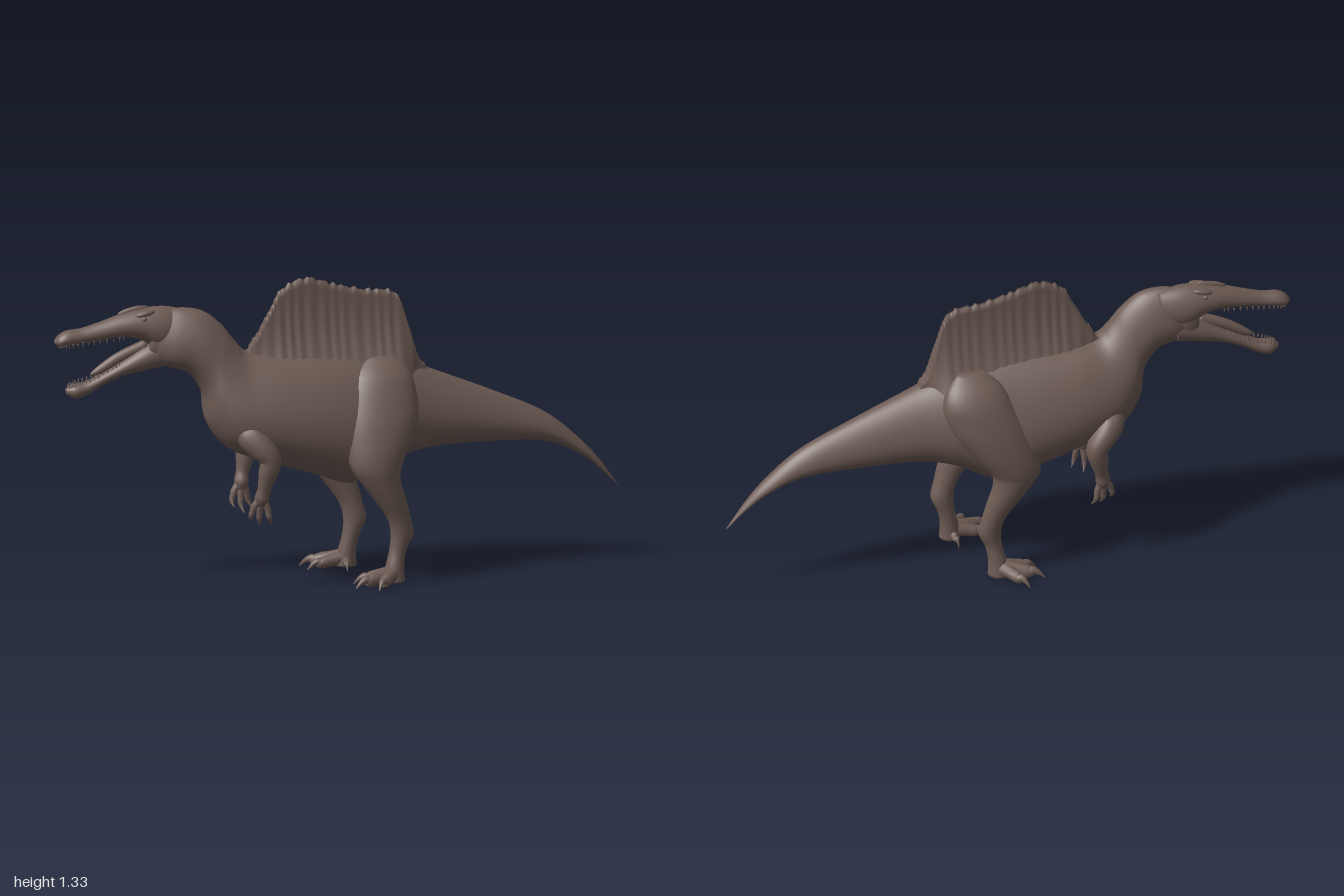
import * as THREE from 'three';

const skin = new THREE.MeshStandardMaterial({ color: 0x6d5b54 });
skin.name = 'brown skin';
const V = (x, y, z) => new THREE.Vector3(x, y, z);

// Catmull-Rom through rows of numbers
function smoothRows(rows, steps) {
  const out = [], last = rows.length - 1;
  for (let i = 0; i <= last * steps; i++) {
    const k = Math.min(Math.floor(i / steps), last - 1), t = i / steps - k;
    const p = [k - 1, k, k + 1, k + 2].map(j => rows[Math.max(0, Math.min(last, j))]);
    out.push(p[1].map((b, c) => {
      const a = p[0][c], d = p[2][c], e = p[3][c];
      return b + 0.5 * t * (d - a + t * (2 * a - 5 * b + 4 * d - e + t * (3 * (b - d) + e - a)));
    }));
  }
  return out;
}

// Closed skin over rings of equal point count, always facing outward
function skinRings(rings, name) {
  const n = rings[0].length, pts = rings.flat(), idx = [];
  for (let i = 0; i < rings.length - 1; i++) for (let j = 0; j < n; j++) {
    const a = i * n + j, b = i * n + (j + 1) % n;
    idx.push(a, b, a + n, b, b + n, a + n);
  }
  [0, rings.length - 1].forEach((r, end) => {
    const mid = rings[r].reduce((s, p) => s.add(p), V(0, 0, 0)).divideScalar(n);
    const c = pts.push(mid) - 1;
    for (let j = 0; j < n; j++) {
      const a = r * n + j, b = r * n + (j + 1) % n;
      end ? idx.push(a, b, c) : idx.push(b, a, c);
    }
  });
  let volume = 0;
  for (let i = 0; i < idx.length; i += 3)
    volume += pts[idx[i]].dot(pts[idx[i + 1]].clone().cross(pts[idx[i + 2]]));
  if (volume < 0) idx.reverse();
  const g = new THREE.BufferGeometry().setFromPoints(pts);
  g.setIndex(idx);
  g.computeVertexNormals();
  const mesh = new THREE.Mesh(g, skin);
  mesh.name = name;
  return mesh;
}

// Loft along the spine; rows: top z, top y, bottom z, bottom y, half width, sideways shift
function spineLoft(rows, name, taper = 0, n = 32) {
  return skinRings(smoothRows(rows, 6).map(([tz, ty, bz, by, w, x = 0]) =>
    Array.from({ length: n }, (_, j) => {
      const a = j / n * Math.PI * 2, s = Math.sin(a), c = Math.cos(a);
      return V(x + w * c * (1 - taper * s), (ty + by) / 2 + s * (ty - by) / 2, (tz + bz) / 2 + s * (tz - bz) / 2);
    })), name);
}

// Round limb; rows: x, y, z, radius
function limb(rows, name, n = 14) {
  const r = smoothRows(rows, 5);
  return skinRings(r.map((p, i) => {
    const q = r[Math.max(0, i - 1)], s = r[Math.min(r.length - 1, i + 1)];
    const t = V(s[0] - q[0], s[1] - q[1], s[2] - q[2]).normalize();
    const A = V(1, 0.1, 0.2).cross(t).normalize(), B = t.clone().cross(A);
    return Array.from({ length: n }, (_, j) => {
      const a = j / n * Math.PI * 2;
      return V(p[0], p[1], p[2]).addScaledVector(A, Math.cos(a) * p[3]).addScaledVector(B, Math.sin(a) * p[3]);
    });
  }), name);
}

function blob(name, x, y, z, sx, sy, sz, tilt = 0) {
  const m = new THREE.Mesh(new THREE.SphereGeometry(1, 20, 14), skin);
  m.name = name;
  m.position.set(x, y, z);
  m.scale.set(sx, sy, sz);
  m.rotation.x = tilt;
  return m;
}

// Thin ribbed sail with a ragged crest, flaring into the back
function sail() {
  const outline = [[0.45, 0.97], [0.385, 1.045], [0.315, 1.16], [0.25, 1.28], [0.14, 1.33], [0.015, 1.298], [-0.12, 1.266],
    [-0.245, 1.252], [-0.29, 1.2], [-0.325, 1.09], [-0.36, 0.97], [-0.43, 0.87]];
  const rows = smoothRows(outline, 14), m = 16;
  return skinRings(rows.map(([z, y], i) => {
    const rib = Math.sin(z * 125 + Math.sin(z * 31)), top = y + 0.005 * rib + 0.004 * Math.sin(i * 1.9);
    const base = 0.82, end = Math.sin(Math.PI / 2 * Math.min(1, i / 50, (rows.length - 1 - i) / 60));
    const side = s => Array.from({ length: m }, (_, j) => {
      const v = j / (m - 1), py = base + (top - base) * v, h = Math.max(0, Math.min(1, (py - 0.86) / 0.46));
      const th = 0.125 * Math.pow(1 - h, 2.5) * end + 0.009 + 0.0035 * rib * h * (1 - v * v) * 2;
      return V(0.03 + 0.03 * z + s * th, py, z);
    });
    return [...side(1), ...side(-1).reverse()];
  }), 'sail');
}

// Hind leg with splayed toes; the right one steps forward
function hindLeg(side) {
  const g = new THREE.Group(), n = 28;
  g.name = side > 0 ? 'leftHindLeg' : 'rightHindLeg';
  const shift = y => side > 0 ? 0 : Math.max(0, Math.min(1, (0.85 - y) / 0.35));
  const place = (x, y, z) => [side * x + 0.085 * shift(y) + (side < 0 ? 0.02 * (1 - shift(y)) : 0), y, z + 0.12 * shift(y)];
  // y, z, x, depth radius, width radius
  const rows = [[0.98, -0.19, 0.08, 0.06, 0.02], [0.9, -0.18, 0.115, 0.135, 0.068], [0.75, -0.165, 0.158, 0.17, 0.095],
    [0.63, -0.145, 0.197, 0.15, 0.092], [0.53, -0.128, 0.228, 0.115, 0.077], [0.46, -0.145, 0.236, 0.09, 0.064],
    [0.37, -0.192, 0.232, 0.069, 0.053], [0.29, -0.23, 0.224, 0.052, 0.044], [0.22, -0.246, 0.217, 0.05, 0.042],
    [0.15, -0.228, 0.216, 0.038, 0.037], [0.08, -0.213, 0.222, 0.04, 0.041], [0.012, -0.208, 0.226, 0.048, 0.047]];
  g.add(skinRings(smoothRows(rows, 5).map(([y, z, x, rz, rx]) => Array.from({ length: n }, (_, j) => {
    const a = j / n * Math.PI * 2, c = place(x, y, z);
    return V(c[0] + Math.cos(a) * rx, y, c[2] + Math.sin(a) * rz);
  })), 'leg'));
  for (const [angle, len, r] of [[-0.12, 0.165, 0.027], [0.38, 0.19, 0.03], [0.95, 0.165, 0.027], [-1.4, 0.09, 0.017]]) {
    const along = (d, y, rad) => [...place(0.226 + Math.sin(angle) * d, 0, -0.208 + Math.cos(angle) * d).map((v, i) => i === 1 ? y : v), rad];
    g.add(limb([along(0, 0.05, r * 1.3), along(len * 0.4, 0.04, r * 1.05), along(len * 0.68, 0.031, r * 0.95),
      along(len * 0.8, 0.036, r * 0.65), along(len * 0.93, 0.026, r * 0.36), along(len * 1.07, 0.004, 0.002)], 'toe', 12));
  }
  return g;
}

// Arm with three clawed fingers
function arm(side) {
  const g = new THREE.Group(), P = (x, y, z, r) => [0.035 + side * x, y, z, r];
  g.name = side > 0 ? 'leftArm' : 'rightArm';
  g.add(blob('shoulder', 0.035 + side * 0.115, 0.715, 0.415, 0.062, 0.13, 0.09, 0.3));
  g.add(limb([P(0.1, 0.74, 0.435, 0.04), P(0.148, 0.68, 0.42, 0.063), P(0.185, 0.63, 0.38, 0.057), P(0.2, 0.58, 0.345, 0.047),
    P(0.195, 0.52, 0.355, 0.042), P(0.185, 0.45, 0.37, 0.029), P(0.175, 0.405, 0.378, 0.032), P(0.17, 0.375, 0.38, 0.02)], 'armBone'));
  for (const [dz, dx, len] of [[0.05, -0.012, 0.9], [0.008, -0.02, 1.1], [-0.035, 0.01, 1]]) {
    const Q = (t, r, curl = 0) => P(0.175 + dx * t - curl, 0.415 - 0.115 * len * t, 0.378 + dz * Math.sqrt(t) - curl * 0.6, r);
    g.add(limb([Q(0, 0.018), Q(0.4, 0.015), Q(0.65, 0.013), Q(0.78, 0.012), Q(0.95, 0.007, 0.008), Q(1.1, 0.001, 0.022)], 'finger', 10));
  }
  return g;
}

function teeth(name, row, up) {
  const g = new THREE.Group(), cone = new THREE.ConeGeometry(0.005, 0.02, 6);
  g.name = name;
  smoothRows(row, 5).forEach(([z, y, w], i) => [-1, 1].forEach(s => {
    const t = new THREE.Mesh(cone, skin);
    t.name = 'tooth';
    t.position.set(s * w, y, z);
    t.scale.y = 0.8 + 0.35 * (i % 2);
    if (!up) t.rotation.x = Math.PI;
    g.add(t);
  }));
  return g;
}

export function createModel() {
  const model = new THREE.Group(), beast = new THREE.Group();
  model.name = 'sailBackedDinosaur';
  beast.name = 'dinosaur';
  beast.rotation.y = -0.908;
  model.add(beast);

  // Tail, trunk and neck
  beast.add(spineLoft([
    [-1.265, 0.335, -1.268, 0.328, 0.003, 0], [-1.18, 0.455, -1.19, 0.405, 0.02, 0], [-1.08, 0.562, -1.1, 0.475, 0.038, 0],
    [-0.93, 0.68, -0.94, 0.545, 0.06, 0], [-0.69, 0.79, -0.69, 0.56, 0.09, 0.005], [-0.42, 0.9, -0.42, 0.553, 0.13, 0.015],
    [-0.25, 0.97, -0.25, 0.51, 0.172, 0.02], [-0.08, 1.0, -0.07, 0.42, 0.204, 0.025], [0.1, 1.01, 0.1, 0.465, 0.217, 0.03],
    [0.28, 1.015, 0.3, 0.53, 0.21, 0.036], [0.4, 1.025, 0.485, 0.6, 0.18, 0.043], [0.455, 1.075, 0.58, 0.72, 0.14, 0.045],
    [0.515, 1.15, 0.6, 0.85, 0.11, 0.042], [0.595, 1.212, 0.66, 0.94, 0.098, 0.036], [0.69, 1.23, 0.75, 0.972, 0.085, 0.025],
    [0.79, 1.215, 0.82, 1.0, 0.055, 0.014]], 'body', 0.26, 40));
  beast.add(sail());

  // Head, open jaws and teeth
  const head = new THREE.Group();
  head.name = 'head';
  head.position.x = 0.016;
  head.rotation.y = -0.012;
  head.add(spineLoft([[0.66, 1.215, 0.69, 1.05, 0.06], [0.76, 1.236, 0.79, 1.05, 0.077], [0.86, 1.232, 0.87, 1.095, 0.069],
    [0.95, 1.212, 0.95, 1.11, 0.056], [1.05, 1.18, 1.05, 1.1, 0.043], [1.13, 1.158, 1.13, 1.092, 0.037],
    [1.195, 1.15, 1.2, 1.085, 0.042], [1.23, 1.132, 1.233, 1.085, 0.034], [1.25, 1.11, 1.25, 1.098, 0.008]], 'skull', 0.15));
  head.add(spineLoft([[0.72, 1.11, 0.74, 0.975, 0.066], [0.84, 1.075, 0.83, 0.96, 0.062], [0.95, 1.008, 0.94, 0.94, 0.047],
    [1.04, 0.955, 1.03, 0.905, 0.037], [1.11, 0.922, 1.1, 0.865, 0.035], [1.165, 0.912, 1.155, 0.847, 0.037],
    [1.2, 0.893, 1.195, 0.868, 0.014]], 'lowerJaw'));
  head.add(limb([[0, 1.07, 0.84, 0.025], [0, 1.02, 0.96, 0.024], [0, 0.968, 1.05, 0.018], [0, 0.95, 1.09, 0.004]], 'tongue'));
  head.add(blob('noseCrest', 0, 1.222, 0.9, 0.012, 0.018, 0.07, 0.2));
  for (const s of [-1, 1]) {
    head.add(blob('brow', s * 0.038, 1.214, 0.855, 0.018, 0.014, 0.045, 0.2));
    head.add(blob('eye', s * 0.057, 1.194, 0.862, 0.009, 0.01, 0.01));
    head.add(blob('cheek', s * 0.046, 1.09, 0.785, 0.022, 0.075, 0.05, -0.3));
  }
  head.add(teeth('upperTeeth', [[0.95, 1.107, 0.04], [1.08, 1.093, 0.031], [1.19, 1.083, 0.032], [1.23, 1.083, 0.016]], false));
  head.add(teeth('lowerTeeth', [[0.97, 1.0, 0.033], [1.06, 0.95, 0.026], [1.15, 0.919, 0.027], [1.185, 0.906, 0.014]], true));
  beast.add(head);

  for (const side of [1, -1]) beast.add(hindLeg(side), arm(side));
  return model;
}
